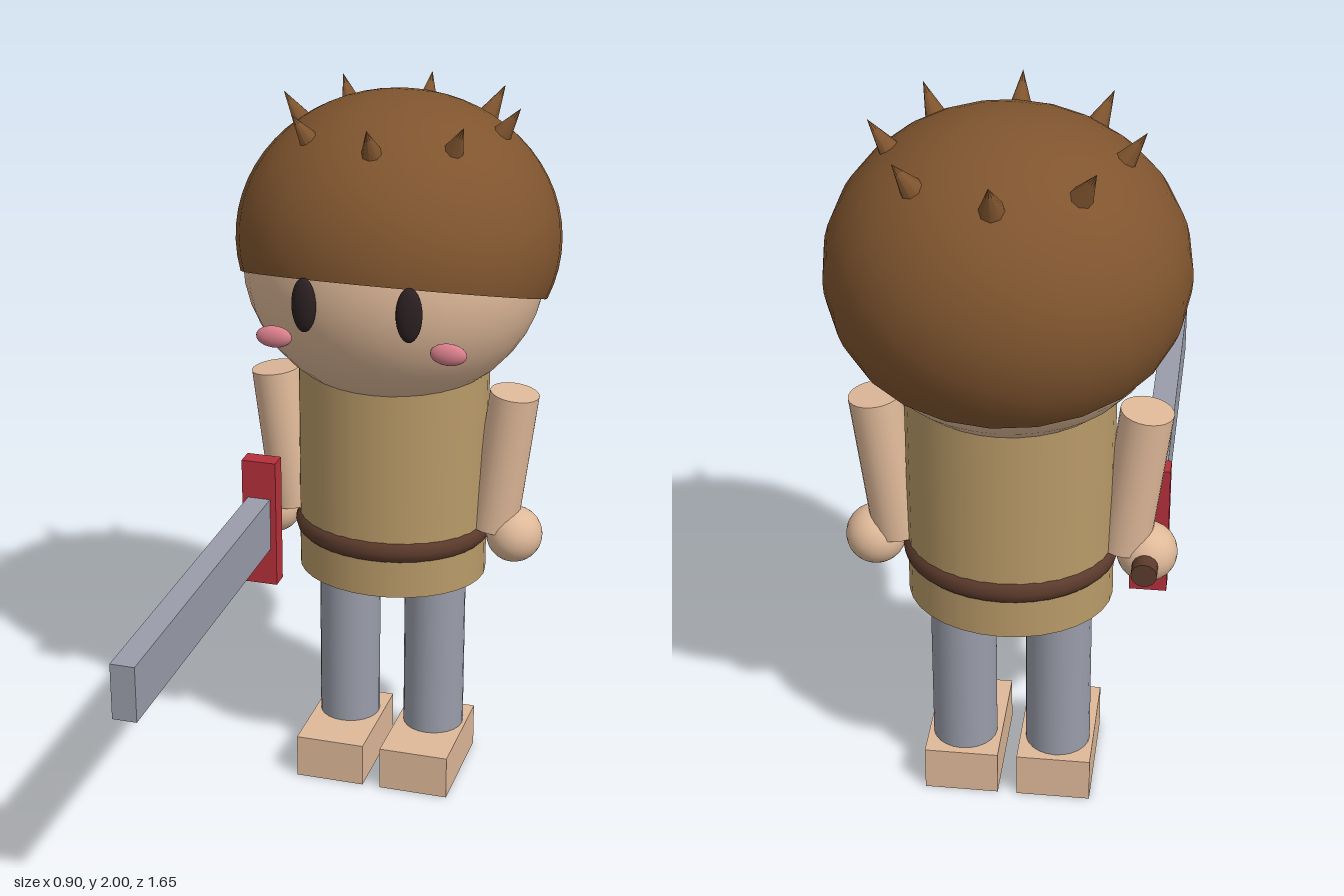
import * as THREE from 'three';

const mat = (name, color) => {
  const m = new THREE.MeshStandardMaterial({ color });
  m.name = name;
  return m;
};

export function createModel() {
  const model = new THREE.Group();
  model.name = 'swordBoy';

  const hairBrown = mat('hairBrown', 0x80552f);
  hairBrown.side = THREE.DoubleSide;
  const skin = mat('skin', 0xdfb999);
  const tunicTan = mat('tunicTan', 0xb99a68);
  const steel = mat('steelGrey', 0x9a9daa);
  const red = mat('guardRed', 0xb5303a);
  const leather = mat('leatherBrown', 0x5c3b2c);
  const eyeBlack = mat('eyeBlack', 0x2b2022);
  const pink = mat('cheekPink', 0xd97f8c);

  const add = (name, geo, material, x, y, z, parent = model) => {
    const mesh = new THREE.Mesh(geo, material);
    mesh.name = name;
    mesh.position.set(x, y, z);
    parent.add(mesh);
    return mesh;
  };
  const ellipsoid = (rx, ry, rz, w = 32, h = 20) =>
    new THREE.SphereGeometry(1, w, h).scale(rx, ry, rz);

  const Z = -0.355; // body axis

  // Head
  add('head', ellipsoid(0.42, 0.395, 0.387), skin, 0, 1.55, Z);

  // Hair: cap tilted backwards, then stretched to an ellipsoid
  const cap = new THREE.SphereGeometry(1, 24, 18, 0, Math.PI * 2, 0, 1.907);
  cap.rotateX(-0.34).scale(0.45, 0.4, 0.43);
  add('hair', cap, hairBrown, 0, 1.6, -0.395);

  // Ring of hair spikes leaning outwards
  const spikes = new THREE.Group();
  spikes.name = 'hairSpikes';
  spikes.position.set(0, 0, -0.405);
  model.add(spikes);
  for (let i = 0; i < 8; i++) {
    const arm = new THREE.Group();
    arm.rotation.y = (i * Math.PI) / 4;
    spikes.add(arm);
    const spike = add('hairSpike', new THREE.ConeGeometry(0.042, 0.135, 8), hairBrown, 0.292, 1.924, 0, arm);
    spike.rotation.z = -0.6;
  }

  // Tunic and belt
  add('tunic', new THREE.CylinderGeometry(1, 1, 0.67, 32).scale(0.27, 1, 0.23), tunicTan, 0, 0.962, Z);
  const belt = new THREE.TorusGeometry(0.244, 0.038, 12, 40).rotateX(Math.PI / 2).scale(1, 1, 0.86);
  add('belt', belt, leather, 0, 0.765, Z);

  // Mirrored parts
  for (const [side, s] of [['left', 1], ['right', -1]]) {
    const eye = add(side + 'Eye', ellipsoid(0.035, 0.075, 0.022, 20, 14), eyeBlack, s * 0.143, 1.525, 0.016);
    eye.rotation.y = s * 0.2;
    add(side + 'Cheek', ellipsoid(0.05, 0.03, 0.02, 20, 14), pink, s * 0.24, 1.413, -0.024);
    const arm = add(side + 'Arm', new THREE.CylinderGeometry(0.069, 0.069, 0.41, 24), skin, s * 0.322, 0.99, Z);
    arm.rotation.z = -s * 0.125;
    add(side + 'Hand', ellipsoid(0.08, 0.08, 0.08, 24, 16), skin, s * 0.357, 0.765, Z);
    add(side + 'Leg', new THREE.CylinderGeometry(0.088, 0.088, 0.54, 24), steel, s * 0.128, 0.38, Z);
    add(side + 'Foot', new THREE.BoxGeometry(0.2, 0.128, 0.328), skin, s * 0.126, 0.064, -0.3);
  }

  // Sword held in the right hand, pointing forward
  const sword = new THREE.Group();
  sword.name = 'sword';
  sword.position.set(-0.357, 0.766, 0);
  model.add(sword);
  add('blade', new THREE.BoxGeometry(0.066, 0.155, 1.06), steel, 0, 0, 0.3, sword);
  add('guard', new THREE.BoxGeometry(0.1, 0.38, 0.054), red, 0, 0, -0.24, sword);
  add('grip', new THREE.CylinderGeometry(0.034, 0.034, 0.23, 16).rotateX(Math.PI / 2), leather, 0, 0, -0.355, sword);

  return model;
}
